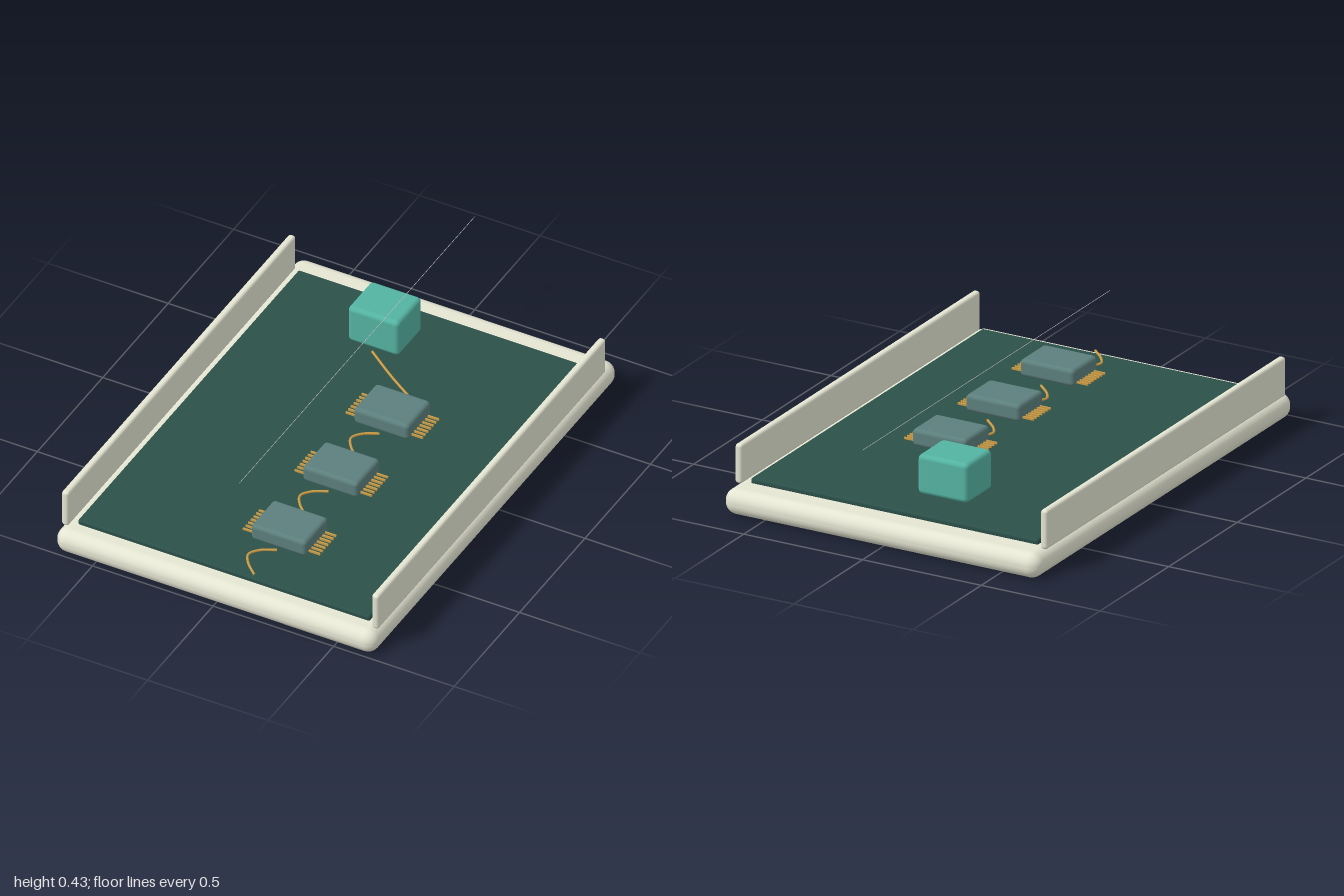
import * as THREE from 'three';
import { RoundedBoxGeometry } from 'three/addons/geometries/RoundedBoxGeometry.js';

const mat = (color) => new THREE.MeshStandardMaterial({ color });

export function createModel() {
  const model = new THREE.Group();
  const shell = mat(0xe4e5d2), green = mat(0x2b5049), teal = mat(0x54b3a2);
  const slate = mat(0x5c7f7d), gold = mat(0xc99b45);

  const add = (name, geometry, material, parent = model) => {
    const mesh = new THREE.Mesh(geometry, material);
    mesh.name = name;
    parent.add(mesh);
    return mesh;
  };

  // Rounded box given by its extents on each axis
  const box = (name, [x0, x1], [y0, y1], [z0, z1], r, material, parent) => {
    const geometry = new RoundedBoxGeometry(x1 - x0, y1 - y0, z1 - z0, 5, r);
    const mesh = add(name, geometry, material, parent);
    mesh.position.set((x0 + x1) / 2, (y0 + y1) / 2, (z0 + z1) / 2);
    return mesh;
  };

  // Thin wire lying just above the board, through [x, z] points
  const wire = (name, points) => {
    const path = new THREE.CatmullRomCurve3(points.map(([x, z]) => new THREE.Vector3(x, 0.13, z)));
    return add(name, new THREE.TubeGeometry(path, 32, 0.005, 8), gold);
  };

  // Tray, circuit board and side walls
  box('base', [-0.665, 0.665], [0, 0.1], [-0.88, 1], 0.047, shell);
  box('circuitBoard', [-0.605, 0.605], [0.095, 0.12], [-0.77, 0.92], 0.009, green);
  for (const side of [-1, 1]) {
    const wall = box(side > 0 ? 'leftWall' : 'rightWall',
      [-0.0145, 0.0145], [0.097, 0.252], [-0.795, 0.95], 0.012, shell);
    wall.position.x = side * 0.643;
  }

  // Sample block at the back
  box('sampleBlock', [-0.236, -0.024], [0.14, 0.295], [-0.645, -0.46], 0.018, teal);
  wire('sampleWire', [[-0.13, -0.457], [0, -0.362], [0.125, -0.28]]);

  // Row of chips, each with pins on both sides and a curved wire in front
  [-0.14, 0.25, 0.645].forEach((z, i) => {
    const chip = new THREE.Group();
    chip.name = 'chip' + (i + 1);
    chip.position.set(0.125, 0, z);
    model.add(chip);
    box('chipBody', [-0.114, 0.114], [0.13, 0.198], [-0.089, 0.089], 0.016, slate, chip);
    for (const side of [-1, 1]) {
      for (let p = 0; p < 7; p++) {
        const pin = add('pin', new THREE.BoxGeometry(0.06, 0.008, 0.006), gold, chip);
        pin.position.set(side * 0.13, 0.144, -0.062 + p * 0.0205);
      }
    }
    wire('chipWire' + (i + 1),
      [[0.125, 0.098], [0.072, 0.128], [0.046, 0.168], [0.068, 0.212], [0.125, 0.268]]
        .map(([x, dz]) => [x, z + dz]));
  });

  // Hair-thin light beam along the centre line
  const beam = add('lightBeam', new THREE.CylinderGeometry(0.001, 0.001, 1.8, 8), mat(0xcccccc));
  beam.rotation.x = Math.PI / 2;
  beam.position.set(0, 0.43, -0.1);

  return model;
}
